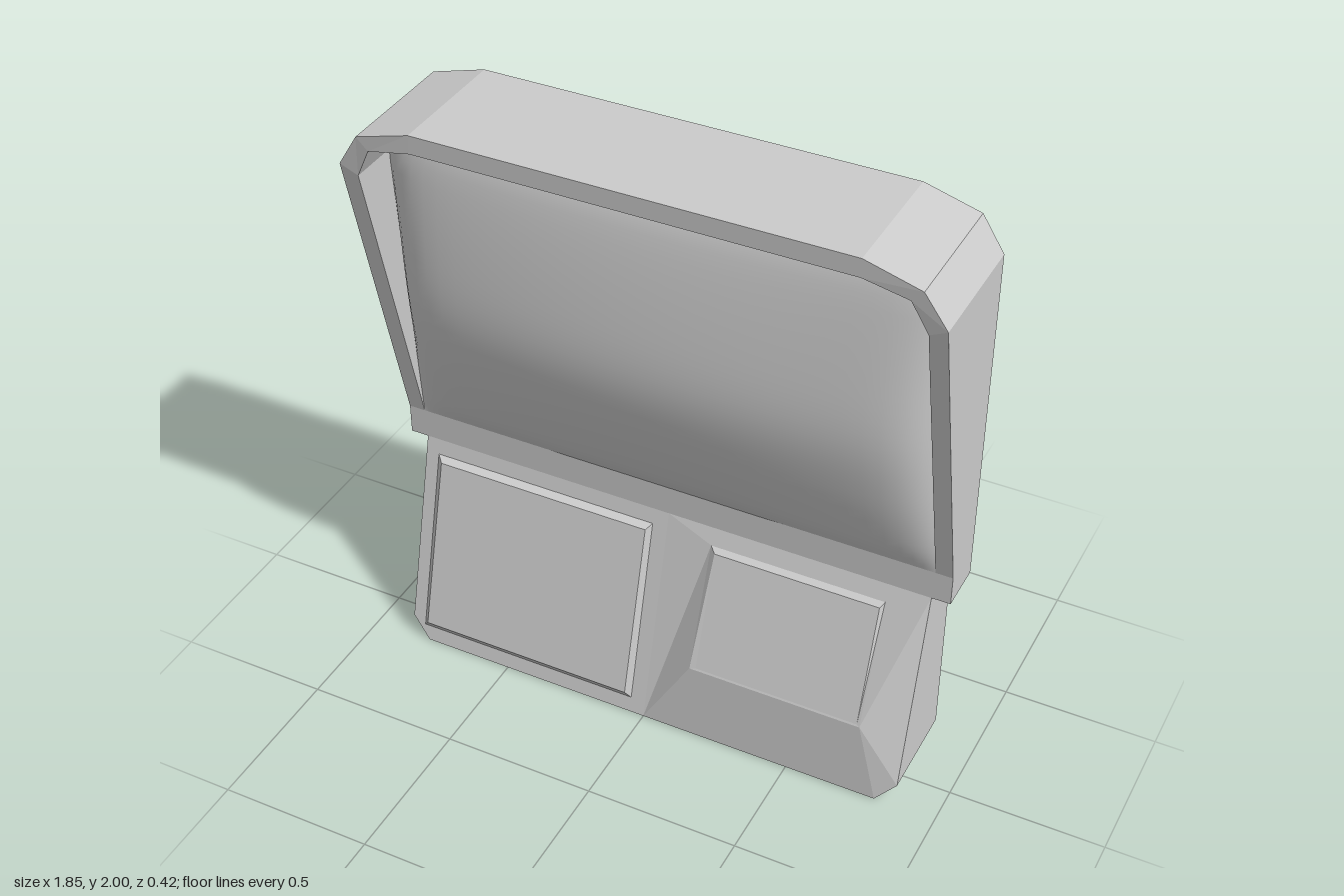
import * as THREE from 'three';

const BACK = -0.21;
const material = new THREE.MeshStandardMaterial({ color: 0xcccccc, side: THREE.DoubleSide });

// Flat-shaded mesh from polygons (each a fan of [x, y, z] corners)
function faceMesh(name, faces, flip = false) {
  const pos = [];
  for (const f of faces) {
    for (let i = 1; i < f.length - 1; i++) {
      const tri = flip ? [f[0], f[i + 1], f[i]] : [f[0], f[i], f[i + 1]];
      tri.forEach(p => pos.push(...p));
    }
  }
  const g = new THREE.BufferGeometry();
  g.setAttribute('position', new THREE.Float32BufferAttribute(pos, 3));
  g.computeVertexNormals();
  const mesh = new THREE.Mesh(g, material);
  mesh.name = name;
  return mesh;
}

// Piecewise linear lookup in [key, value] pairs
function lookup(table, t) {
  for (let i = 1; i < table.length; i++) {
    const [a, va] = table[i - 1], [b, vb] = table[i];
    if (t <= b) return va + (vb - va) * Math.max(0, (t - a) / (b - a));
  }
  return table[table.length - 1][1];
}

// Depth of the front edge of the upper frame and the lower shell
const frameZ = y => lookup([[0.81, -0.05], [1.84, 0.2], [1.95, 0.21]], y);
const shellZ = y => 0.13 - 0.18 * y / 0.71;

// Upper surround: a rim with a sloping front and chamfered top corners
function makeFrame() {
  const half = [ // outer x, y, inner x, y
    [0.925, 0.71, 0.865, 0.71], [0.925, 0.81, 0.87, 0.81], [0.925, 1.84, 0.87, 1.81],
    [0.855, 1.95, 0.82, 1.91], [0.68, 2, 0.68, 1.94],
  ];
  const path = [...half, ...half.map(([a, b, c, d]) => [-a, b, -c, d]).reverse()];
  const sections = path.map(([ox, oy, ix, iy]) => [
    [ox, oy, BACK], [ox, oy, frameZ(oy)], [ix, iy, frameZ(iy)], [ix, iy, BACK],
  ]);
  const faces = [];
  for (let i = 0; i < sections.length - 1; i++) {
    const s = sections[i], t = sections[i + 1];
    for (let k = 0; k < 4; k++) {
      const n = (k + 1) % 4;
      faces.push([s[k], t[k], t[n], s[n]]);
    }
  }
  faces.push(sections[0], [...sections[sections.length - 1]].reverse());
  // Cross bar under the opening and its rear lip
  faces.push([[-0.87, 0.71, -0.05], [0.87, 0.71, -0.05], [0.87, 0.81, -0.05], [-0.87, 0.81, -0.05]]);
  faces.push([[-0.87, 0.81, -0.05], [0.87, 0.81, -0.05], [0.87, 0.79, -0.13], [-0.87, 0.79, -0.13]]);
  return faceMesh('upperFrame', faces);
}

// Smooth bulging screen filling the frame opening
function makeScreen() {
  const N = 32;
  const profile = new THREE.SplineCurve([
    [0.81, -0.05], [0.9, 0.01], [1.1, 0.092], [1.32, 0.145], [1.56, 0.14], [1.84, 0.1], [1.94, 0.04],
  ].map(p => new THREE.Vector2(...p)));
  const width = y => lookup([[1.81, 0.87], [1.91, 0.82], [1.94, 0.68]], y);
  const pos = [], index = [];
  for (let j = 0; j <= N; j++) {
    const p = profile.getPoint(j / N);
    const border = -0.05 + 0.09 * (p.x - 0.81) / 1.13;
    for (let i = 0; i <= N; i++) {
      const u = Math.sin((i / N - 0.5) * Math.PI);
      const swell = 0.6 * (1 - Math.abs(u) ** 16) + 0.4 * (1 - u * u);
      pos.push(u * width(p.x), p.x, border + (p.y - border) * swell);
      if (i < N && j < N) {
        const a = j * (N + 1) + i, b = a + N + 1;
        index.push(a, a + 1, b + 1, a, b + 1, b);
      }
    }
  }
  const g = new THREE.BufferGeometry();
  g.setAttribute('position', new THREE.Float32BufferAttribute(pos, 3));
  g.setIndex(index);
  g.computeVertexNormals();
  const mesh = new THREE.Mesh(g, material);
  mesh.name = 'screen';
  return mesh;
}

// Side and bottom walls of the lower shell, open at the back
function makeLowerWalls() {
  const path = [[-0.865, 0.71], [-0.865, 0.07], [-0.8, 0], [0.8, 0], [0.865, 0.07], [0.865, 0.71]];
  const faces = [];
  for (let i = 0; i < path.length - 1; i++) {
    const [a, b] = [path[i], path[i + 1]];
    faces.push([[...a, BACK], [...b, BACK], [...b, shellZ(b[1])], [...a, shellZ(a[1])]]);
  }
  return faceMesh('lowerWalls', faces);
}

// Half of the lower front with a bevelled pad.
// Rects are [near x, far x, top y, bottom y, top z, bottom z]
function makePanel(name, side, outerRect, innerRect) {
  const corners = ([n, f, t, b, zt, zb]) =>
    [[side * n, t, zt], [side * f, t, zt], [side * f, b, zb], [side * n, b, zb]];
  const [A, B, C, D, E] = [[0, 0.71], [0.865, 0.71], [0.865, 0.07], [0.8, 0], [0, 0]]
    .map(([x, y]) => [side * x, y, shellZ(y)]);
  const p = corners(outerRect), q = corners(innerRect);
  const faces = [[A, B, p[1], p[0]], [B, C, p[2], p[1]], [C, D, p[2]], [D, E, p[3], p[2]], [E, A, p[0], p[3]], q];
  for (let i = 0; i < 4; i++) {
    const n = (i + 1) % 4;
    faces.push([p[i], p[n], q[n], q[i]]);
  }
  return faceMesh(name, faces, side > 0);
}

export function createModel() {
  const group = new THREE.Group();
  group.name = 'console';
  group.add(makeFrame(), makeScreen(), makeLowerWalls());
  // Large raised pad on one half, smaller pad on a raised wedge on the other
  group.add(makePanel('largePadPanel', -1,
    [0.05, 0.82, 0.66, 0.05, shellZ(0.66), shellZ(0.05)],
    [0.062, 0.795, 0.65, 0.085, -0.01, 0.14]));
  group.add(makePanel('smallPadPanel', 1,
    [0.155, 0.73, 0.655, 0.262, -0.03, 0.115],
    [0.175, 0.72, 0.642, 0.268, -0.012, 0.112]));
  return group;
}
